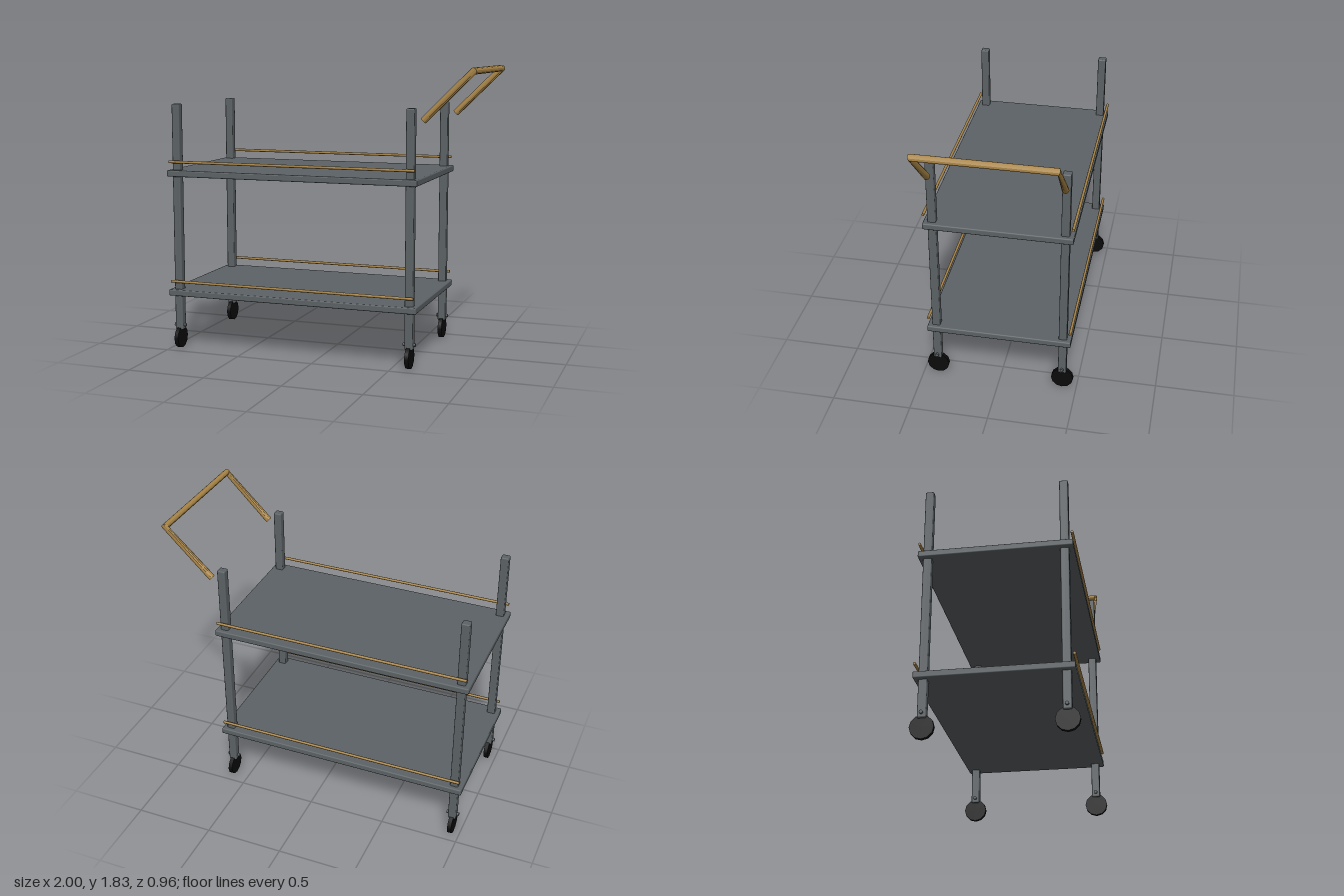
import * as THREE from 'three';
import { RoundedBoxGeometry } from 'three/addons/geometries/RoundedBoxGeometry.js';

const mat = (name, color) => {
  const m = new THREE.MeshStandardMaterial({ color });
  m.name = name;
  return m;
};

// Sweeps a round section along straight runs, one shared ring per corner, with end caps
function sweep(points, normal, radius, sides) {
  const pos = [], idx = [];
  points.forEach((p, i) => {
    const t = points[Math.min(i + 1, points.length - 1)].clone()
      .sub(points[Math.max(i - 1, 0)]).normalize();
    const b = new THREE.Vector3().crossVectors(t, normal);
    for (let k = 0; k < sides; k++) {
      const a = (k / sides) * Math.PI * 2;
      const v = p.clone().addScaledVector(normal, Math.cos(a) * radius)
        .addScaledVector(b, Math.sin(a) * radius);
      pos.push(v.x, v.y, v.z);
    }
  });
  const last = (points.length - 1) * sides;
  for (let i = 0; i < points.length - 1; i++) {
    for (let k = 0; k < sides; k++) {
      const a = i * sides + k, b = i * sides + (k + 1) % sides;
      idx.push(a, a + sides, b, b, a + sides, b + sides);
    }
  }
  for (let k = 1; k < sides - 1; k++) {
    idx.push(0, k, k + 1, last, last + k + 1, last + k);
  }
  // The section runs clockwise about the tangent, so turn every face outward
  for (let i = 0; i < idx.length; i += 3) [idx[i + 1], idx[i + 2]] = [idx[i + 2], idx[i + 1]];
  const g = new THREE.BufferGeometry();
  g.setAttribute('position', new THREE.Float32BufferAttribute(pos, 3));
  g.setIndex(idx);
  const flat = g.toNonIndexed();
  flat.computeVertexNormals();
  return flat;
}

export function createModel() {
  const group = new THREE.Group();
  group.name = 'servingCart';
  const steel = mat('greySteel', 0x5c6265);
  const brass = mat('brass', 0xa88446);
  brass.side = THREE.DoubleSide;
  const rubber = mat('blackRubber', 0x0b0b0b);

  const add = (name, geometry, material, x, y, z) => {
    const mesh = new THREE.Mesh(geometry, material);
    mesh.name = name;
    mesh.position.set(x, y, z);
    group.add(mesh);
    return mesh;
  };

  // Shelves, each with a thin guard rail along the front and back
  const shelf = new RoundedBoxGeometry(1.657, 0.041, 0.92, 2, 0.008);
  const rail = new THREE.CylinderGeometry(0.009, 0.009, 1.626, 8).rotateZ(Math.PI / 2);
  for (const [label, y] of [['lower', 0.372], ['upper', 1.149]]) {
    add(label + 'Shelf', shelf, steel, -0.171, y, 0);
    add(label + 'FrontRail', rail, brass, -0.171, y + 0.075, 0.454);
    add(label + 'BackRail', rail, brass, -0.171, y + 0.075, -0.454);
  }

  // Corner posts with an axle pin and wheel below each
  const post = new RoundedBoxGeometry(0.052, 1.47, 0.052, 2, 0.008);
  const pin = new THREE.CylinderGeometry(0.011, 0.011, 0.08, 8).rotateZ(Math.PI / 2);
  const wheel = new THREE.CylinderGeometry(0.071, 0.071, 0.026, 12).rotateZ(Math.PI / 2);
  for (const x of [-0.945, 0.605]) {
    for (const z of [-0.407, 0.407]) {
      const label = (z > 0 ? 'front' : 'back') + (x > 0 ? 'Left' : 'Right');
      add(label + 'Post', post, steel, x, 0.857, z);
      add(label + 'AxlePin', pin, steel, x, 0.152, z);
      add(label + 'Wheel', wheel, rubber, x, 0.071, z);
    }
  }

  // Push handle: two slanted arms joined by a cross bar
  const path = [[0.68, 1.52, 0.408], [0.978, 1.814, 0.412], [0.978, 1.814, -0.412], [0.68, 1.52, -0.408]]
    .map(p => new THREE.Vector3(...p));
  const normal = new THREE.Vector3(-1, 1, 0).normalize();
  add('pushHandle', sweep(path, normal, 0.0215, 12), brass, 0, 0, 0);

  return group;
}
